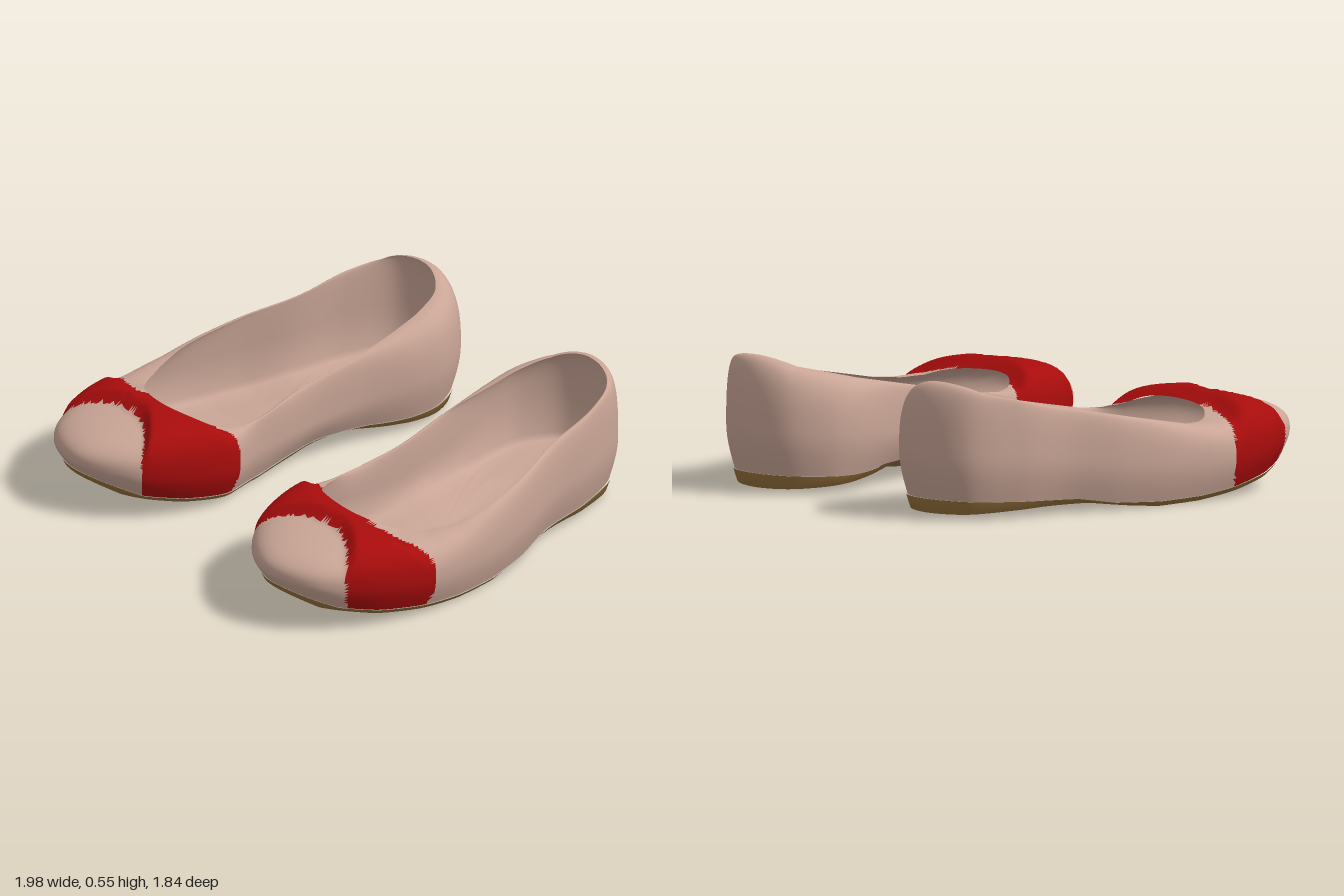
import * as THREE from 'three';

const leather = new THREE.MeshStandardMaterial({ color: 0xc9a596 });
leather.name = 'blush leather';
const red = new THREE.MeshStandardMaterial({ color: 0xa80c0c });
red.name = 'red band';
const tan = new THREE.MeshStandardMaterial({ color: 0x96713c });
tan.name = 'tan sole';

const N = 240; // points around each ring
const CENTRE = [0.58, 0];

// Matching control points seen from above: widest outline x, z and opening x, z
const PLAN = [
  [0.49, -0.92, 0.5, -0.84], [0.32, -0.87, 0.37, -0.78], [0.22, -0.72, 0.315, -0.65],
  [0.205, -0.58, 0.3, -0.52], [0.26, -0.29, 0.29, -0.27], [0.285, -0.02, 0.31, -0.02],
  [0.27, 0.22, 0.285, 0.22], [0.225, 0.42, 0.31, 0.36], [0.28, 0.65, 0.37, 0.435],
  [0.37, 0.8, 0.45, 0.465], [0.59, 0.92, 0.55, 0.475], [0.8, 0.85, 0.66, 0.46],
  [0.93, 0.65, 0.75, 0.42], [0.99, 0.38, 0.83, 0.32], [0.97, 0.08, 0.9, 0.11],
  [0.915, -0.16, 0.865, -0.18], [0.83, -0.4, 0.79, -0.42], [0.78, -0.64, 0.75, -0.66],
  [0.68, -0.85, 0.67, -0.8],
];

// Heights along the shoe as [z, y]
const RIM = [[-0.84, 0.555], [-0.77, 0.515], [-0.5, 0.45], [-0.07, 0.365], [0.18, 0.317], [0.3, 0.307], [0.38, 0.315], [0.475, 0.352]];
const WIDEST = [[-0.92, 0.27], [-0.6, 0.25], [0, 0.18], [0.4, 0.17], [0.75, 0.21], [0.92, 0.24]];
const SEAM = [[-0.9, 0.085], [-0.6, 0.07], [-0.35, 0.06], [-0.2, 0.035], [0, 0.025], [0.2, 0.03], [0.4, 0.05], [0.6, 0.08], [0.75, 0.115], [0.9, 0.185]];
const BOTTOM = [[-0.9, 0.025], [-0.5, 0.04], [-0.3, 0.04], [-0.15, 0.02], [0, 0.005], [0.2, 0.01], [0.4, 0.03], [0.6, 0.06], [0.8, 0.11], [0.9, 0.165]];

function height(table, z) {
  if (z <= table[0][0]) return table[0][1];
  for (let i = 1; i < table.length; i++) {
    const [z0, y0] = table[i - 1], [z1, y1] = table[i];
    if (z <= z1) return y0 + (y1 - y0) * (z - z0) / (z1 - z0);
  }
  return table[table.length - 1][1];
}

// Raised instep on the inner side of the sole
const arch = (x, z) => 0.06 * Math.exp(-(((z + 0.12) / 0.25) ** 2)) * THREE.MathUtils.smoothstep(0.62 - x, 0, 0.32);

// Front and back edges of the coloured band
const bandFront = x => 0.605 + 2.1 * (x - 0.63) ** 2;
const bandBack = x => 0.47 - 0.8 * (x - 0.62) ** 2;

const curve = k => new THREE.CatmullRomCurve3(PLAN.map(p => new THREE.Vector3(p[k], 0, p[k + 1])), true);
const outlineCurve = curve(0), openingCurve = curve(2);
const outline = [], opening = [];
for (let j = 0; j < N; j++) {
  const p = outlineCurve.getPoint(j / N), t = outlineCurve.getTangent(j / N);
  outline.push({ x: p.x, z: p.z, nx: t.z, nz: -t.x });
  opening.push(openingCurve.getPoint(j / N));
}

const makeRing = fn => outline.map((o, j) => fn(o, opening[j]));
const inset = (o, d) => [o.x + o.nx * d, o.z + o.nz * d];
const scaled = ([x, z], k) => [CENTRE[0] + (x - CENTRE[0]) * k, CENTRE[1] + (z - CENTRE[1]) * k];

// Rounded wall from the widest line (inset by d) up and over to the opening
function wallRing(u, d, bump) {
  const a = 1 - Math.cos(u * Math.PI / 2) ** 0.75, b = Math.sin(u * Math.PI / 2) ** 0.75;
  return makeRing((o, r) => {
    const [ox, oz] = inset(o, d);
    const x = ox + (r.x - ox) * a, z = oz + (r.z - oz) * a;
    const y0 = height(WIDEST, o.z);
    let y = y0 + (height(RIM, r.z) - y0) * b;
    const back = bandBack(x), front = bandFront(x);
    const w = THREE.MathUtils.smoothstep(z, back, back + 0.09) * (1 - THREE.MathUtils.smoothstep(z, front - 0.035, front));
    y += bump * w * b;
    return [x, y, z];
  });
}

// Skin a stack of rings; faces chosen by isSecond go to the second material
function skin(rings, side, isSecond = () => false) {
  const pos = rings.flat().flatMap(([x, y, z]) => [x * side, y, z]);
  const first = [], second = [];
  const all = rings.flat();
  const face = (a, b, c) => {
    const x = (all[a][0] + all[b][0] + all[c][0]) / 3, z = (all[a][2] + all[b][2] + all[c][2]) / 3;
    (isSecond(x, z) ? second : first).push(...(side > 0 ? [a, b, c] : [a, c, b]));
  };
  for (let i = 0; i < rings.length - 1; i++) {
    for (let j = 0; j < N; j++) {
      const k = (j + 1) % N, a = i * N + j, b = i * N + k;
      face(a, b, b + N);
      face(a, b + N, a + N);
    }
  }
  const g = new THREE.BufferGeometry();
  g.setAttribute('position', new THREE.Float32BufferAttribute(pos, 3));
  g.setIndex([...first, ...second]);
  g.addGroup(0, first.length, 0);
  g.addGroup(first.length, second.length, 1);
  g.computeVertexNormals();
  return g;
}

function createShoe(side, name) {
  const shoe = new THREE.Group();
  shoe.name = name;
  const add = (part, geometry, material) => {
    const mesh = new THREE.Mesh(geometry, material);
    mesh.name = part;
    shoe.add(mesh);
  };

  // Sole: underside from the middle outwards, then the edge up to the seam
  const sole = [0, 0.2, 0.4, 0.6, 0.75, 0.88, 0.96, 1].map(k => makeRing(o => {
    const [x, z] = scaled(inset(o, 0.045), k);
    return [x, height(BOTTOM, z) + arch(x, z), z];
  }));
  const seamRing = d => makeRing(o => {
    const [x, z] = inset(o, d);
    return [x, height(SEAM, z) + arch(x, z), z];
  });
  sole.push(seamRing(0.028));
  add('sole', skin(sole, side), tan);

  // Upper: bulge from seam to widest line, then over to the opening, with the band
  const upper = [];
  for (let i = 0; i < 7; i++) {
    const u = i / 7, d = 0.034 * (1 - Math.sin(u * Math.PI / 2));
    upper.push(makeRing(o => {
      const [x, z] = inset(o, d);
      const y = height(SEAM, z) + arch(x, z);
      return [x, y + (height(WIDEST, o.z) - y) * u, z];
    }));
  }
  for (let i = 0; i <= 28; i++) upper.push(wallRing(i / 28, 0, 0.045));
  add('upper and band', skin(upper, side, (x, z) => z > bandBack(x) && z < bandFront(x)), [leather, red]);

  // Lining: from the opening down the inner wall and across the footbed
  const lining = [];
  for (let i = 10; i >= 0; i--) lining.push(wallRing(i / 10, 0.035, 0));
  for (const [d, k] of [[0.045, 1], [0.07, 1], [0.07, 0.9], [0.07, 0.7], [0.07, 0.5], [0.07, 0.25], [0.07, 0]]) {
    lining.push(makeRing(o => {
      const [x, z] = scaled(inset(o, d), k);
      const lift = d < 0.06 ? 0.09 : k === 1 ? 0.065 : 0.05;
      return [x, height(SEAM, z) + lift * 0.7 + arch(x, z), z];
    }));
  }
  add('lining', skin(lining, side), leather);
  return shoe;
}

export function createModel() {
  const pair = new THREE.Group();
  pair.name = 'pair of flat shoes';
  pair.add(createShoe(1, 'leftShoe'), createShoe(-1, 'rightShoe'));
  return pair;
}
